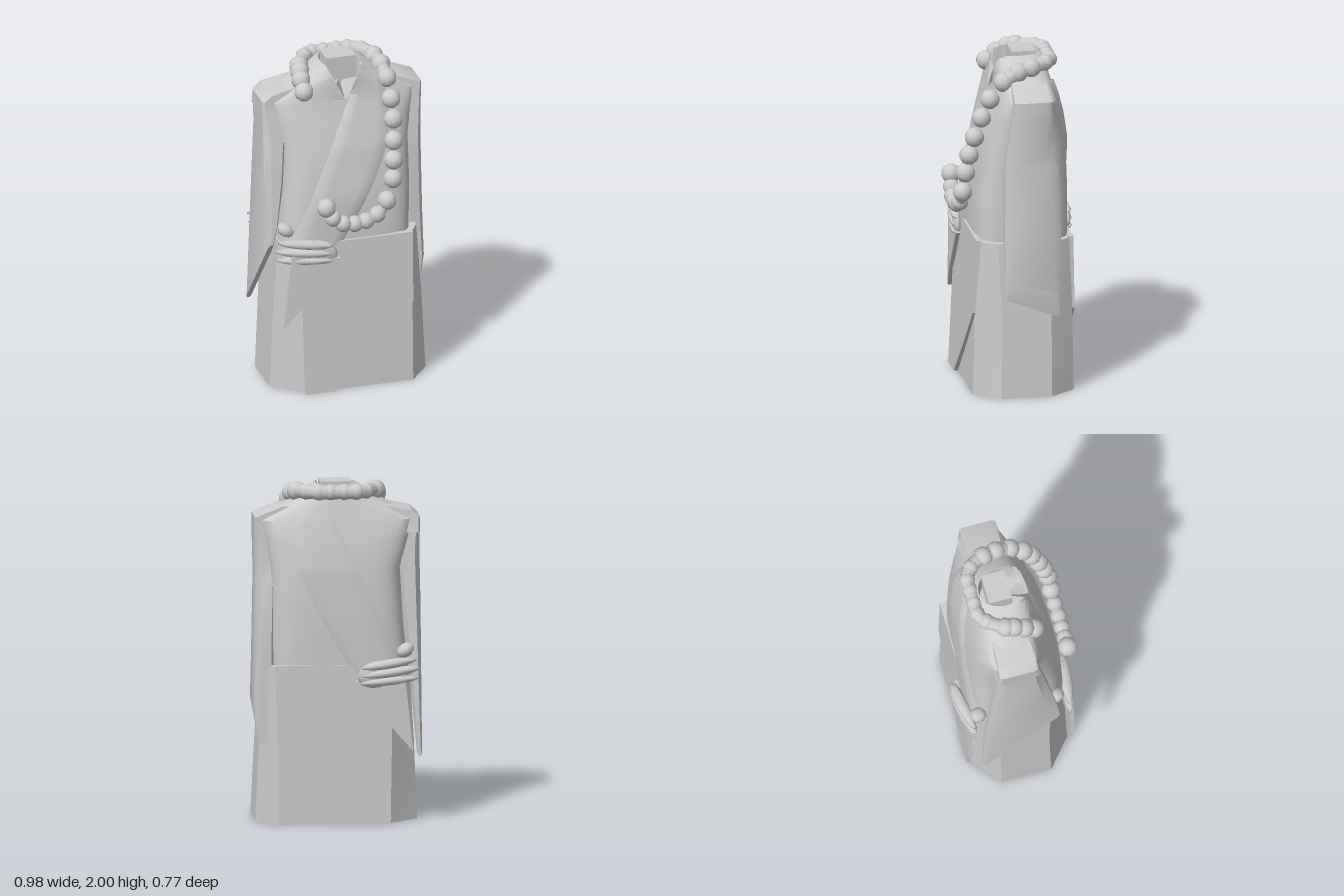
import * as THREE from 'three';
import { toCreasedNormals } from 'three/addons/utils/BufferGeometryUtils.js';

const V = (x, y, z) => new THREE.Vector3(x, y, z);

// Torso outline: y, centre x, half width, back z, front z, squareness
const TORSO = [
  [0.86, -0.02, 0.4, -0.29, 0.265, 5],
  [1.2, 0, 0.39, -0.29, 0.26, 4.5],
  [1.5, 0.01, 0.385, -0.28, 0.21, 4],
  [1.66, 0, 0.43, -0.255, 0.165, 3.5],
  [1.78, 0, 0.475, -0.225, 0.13, 3],
  [1.86, 0, 0.32, -0.2, 0.12, 3],
  [1.92, 0, 0.2, -0.19, 0.125, 2.5],
  [1.97, 0, 0.14, -0.175, 0.135, 2.2],
];

function torsoAt(y) {
  let i = 0;
  while (i < TORSO.length - 2 && TORSO[i + 1][0] < y) i++;
  const a = TORSO[i], b = TORSO[i + 1];
  const t = THREE.MathUtils.clamp((y - a[0]) / (b[0] - a[0]), 0, 1);
  return a.map((v, k) => v + (b[k] - v) * t);
}

// z of the torso surface, s = 1 for the front and -1 for the back
function torsoZ(x, y, s) {
  const [, cx, hx, zb, zf, p] = torsoAt(y);
  const u = Math.min(1, Math.abs((x - cx) / hx));
  return (zb + zf) / 2 + s * (zf - zb) / 2 * Math.pow(1 - Math.pow(u, p), 1 / p);
}

// Rounded ring; the front dips into the V of the neckline
function roundRing([y, cx, hx, zb, zf, p], n = 40) {
  const pw = (v) => Math.sign(v) * Math.pow(Math.abs(v), 2 / p);
  return Array.from({ length: n }, (_, i) => {
    const a = i / n * Math.PI * 2;
    const x = cx + hx * pw(Math.sin(a)), c = Math.cos(a);
    const z = (zb + zf) / 2 + (zf - zb) / 2 * pw(c);
    return V(x, c > 0 ? Math.min(y, 1.77 + 2 * Math.abs(x)) : y, z);
  });
}

// Rectangular ring with cut corners; slope tilts it along z
function boxRing(y, x0, x1, z0, z1, c0, c1, cz, slope = 0) {
  return [[x0 + c0, z1], [x1 - c1, z1], [x1, z1 - cz], [x1, z0 + cz],
    [x1 - c1, z0], [x0 + c0, z0], [x0, z0 + cz], [x0, z1 - cz]]
    .map(([x, z]) => V(x, y + slope * z, z));
}

// Closed skin over rings listed from bottom to top
function loft(rings, crease = 0.6) {
  const n = rings[0].length;
  const mid = (r) => {
    const c = r.reduce((s, p) => s.add(p), V(0, 0, 0)).divideScalar(n);
    return Array(n).fill(c);
  };
  const all = [mid(rings[0]), ...rings, mid(rings[rings.length - 1])];
  const pos = all.flat().flatMap((p) => [p.x, p.y, p.z]), idx = [];
  for (let i = 0; i < all.length - 1; i++) {
    for (let j = 0; j < n; j++) {
      const a = i * n + j, b = i * n + (j + 1) % n;
      if (i > 0) idx.push(a, b, b + n);
      if (i < all.length - 2) idx.push(a, b + n, a + n);
    }
  }
  const g = new THREE.BufferGeometry();
  g.setAttribute('position', new THREE.Float32BufferAttribute(pos, 3));
  g.setIndex(idx);
  return toCreasedNormals(g, crease);
}

// Cloth plate cut from an outline and leaned to follow z(x, y)
function panel(points, depth, zAt) {
  const shape = new THREE.Shape(points.map((p) => new THREE.Vector2(...p)));
  const g = new THREE.ExtrudeGeometry(shape, { depth, bevelEnabled: false });
  const p = g.attributes.position;
  for (let i = 0; i < p.count; i++) p.setZ(i, p.getZ(i) - depth / 2 + zAt(p.getX(i), p.getY(i)));
  g.computeVertexNormals();
  return g;
}

// Band lying on the torso between two edges
function sash(s) {
  const inner = new THREE.CatmullRomCurve3([V(0.03, 1.8, 0), V(-0.08, 1.58, 0), V(-0.23, 1.25, 0), V(-0.38, 0.92, 0)]);
  const outer = new THREE.CatmullRomCurve3([V(0.24, 1.86, 0), V(0.25, 1.6, 0), V(0.17, 1.35, 0), V(-0.1, 0.86, 0)]);
  const g = new THREE.PlaneGeometry(1, 1, 8, 24), p = g.attributes.position;
  for (let i = 0; i < p.count; i++) {
    const u = p.getX(i) + 0.5, t = 0.5 - p.getY(i);
    const q = inner.getPoint(t).lerp(outer.getPoint(t), s > 0 ? u : 1 - u);
    const lift = u < 0.01 || u > 0.99 ? 0 : 0.015;
    p.setXYZ(i, q.x, q.y, torsoZ(q.x, q.y, s) + s * lift);
  }
  g.computeVertexNormals();
  return g;
}

export function createModel() {
  const model = new THREE.Group();
  const cloth = new THREE.MeshStandardMaterial({ color: 0xcccccc, side: THREE.DoubleSide });
  const add = (name, geo, parent = model) => {
    const m = new THREE.Mesh(geo, cloth);
    m.name = name;
    parent.add(m);
    return m;
  };
  const blob = (name, x, y, z, rx, ry, rz, tilt = 0, turn = 0) => {
    const m = add(name, new THREE.SphereGeometry(1, 10, 7));
    m.position.set(x, y, z);
    m.scale.set(rx, ry, rz);
    m.rotation.set(0, turn, tilt);
  };

  // Upper robe with a sunken neckline
  const torso = TORSO.map((s) => roundRing(s));
  torso.push(roundRing([1.98, 0, 0.115, -0.16, 0.14, 2.2]));
  torso.push(roundRing([1.86, 0, 0.1, -0.15, 0.11, 2.2]));
  add('torso', loft(torso));
  add('neck', new THREE.BoxGeometry(0.18, 0.3, 0.14)).position.set(0.005, 1.85, -0.05);

  // Skirt with broad cut corners
  add('skirt', loft([
    boxRing(0, -0.47, 0.48, -0.3, 0.3, 0.18, 0.12, 0.15),
    boxRing(0.5, -0.45, 0.455, -0.29, 0.285, 0.15, 0.095, 0.14),
    boxRing(0.93, -0.42, 0.42, -0.28, 0.26, 0.1, 0.06, 0.1),
  ], 0.4));

  for (const s of [1, -1]) {
    const side = s > 0 ? 'front' : 'back';
    const skirtZ = (x, y) => s * (s > 0 ? 0.31 - 0.05 * y : 0.3 - 0.02 * y);

    // Overlapping skirt flap with its diagonal hem
    add(side + 'SkirtFlap', panel([[-0.3, 0], [-0.12, 0], [0.12, 0.24], [0.36, 0.5], [0.365, 0.94], [-0.36, 0.94], [-0.31, 0.57]], 0.03, skirtZ));

    // Diagonal sash, its knot and hanging tail
    add(side + 'Sash', sash(s));
    const kz = s > 0 ? 0.29 : -0.335, turn = s > 0 ? -0.12 : 0.18;
    blob(side + 'KnotBand', -0.22, 0.89, kz, 0.12, 0.08, 0.03, -0.15, turn);
    blob(side + 'KnotFoldUpper', -0.29, 0.95, kz, 0.17, 0.028, 0.035, -0.12, turn);
    blob(side + 'KnotFoldMiddle', -0.3, 0.9, kz, 0.18, 0.028, 0.038, -0.1, turn);
    blob(side + 'KnotFoldLower', -0.29, 0.85, kz, 0.18, 0.026, 0.035, -0.06, turn);
    blob(side + 'KnotLoop', -0.39, 1.02, s > 0 ? 0.2 : -0.27, 0.055, 0.04, 0.05, -0.6);
    add(side + 'SashTail', panel([[-0.38, 0.9], [-0.43, 0.43], [-0.3, 0.58], [-0.09, 0.85]], 0.025,
      (x) => s * (s > 0 ? 0.305 + 0.1 * Math.min(0, x + 0.3) : 0.325)));
  }

  // Left sleeve, flaring to a slanted cuff
  add('leftSleeve', loft([
    boxRing(0.552, 0.37, 0.465, -0.22, 0.13, 0.01, 0.01, 0.02, 0.37),
    boxRing(0.675, 0.37, 0.487, -0.215, 0.125, 0.02, 0.02, 0.03, 0.22),
    boxRing(1.0, 0.36, 0.482, -0.205, 0.125, 0.03, 0.03, 0.05),
    boxRing(1.4, 0.35, 0.475, -0.19, 0.12, 0.03, 0.03, 0.05),
    boxRing(1.47, 0.34, 0.475, -0.16, 0.115, 0.03, 0.03, 0.05),
    boxRing(1.7, 0.3, 0.482, -0.16, 0.08, 0.03, 0.02, 0.03),
    boxRing(1.8, 0.25, 0.482, -0.15, 0.07, 0.02, 0.01, 0.02),
    boxRing(1.86, 0.2, 0.34, -0.15, 0.06, 0.02, 0.02, 0.02),
  ], 0.6));

  // Right sleeve, wide and hanging to a point at the back
  add('rightSleeve', loft([
    boxRing(0.7, -0.49, -0.46, -0.27, 0.2, 0.008, 0.008, 0.02, 1.15),
    boxRing(0.95, -0.49, -0.42, -0.25, 0.19, 0.02, 0.02, 0.05, 0.45),
    boxRing(1.3, -0.49, -0.37, -0.2, 0.15, 0.03, 0.03, 0.05),
    boxRing(1.6, -0.485, -0.34, -0.17, 0.1, 0.03, 0.03, 0.04),
    boxRing(1.75, -0.487, -0.3, -0.16, 0.07, 0.02, 0.02, 0.02),
  ], 0.6));

  // Raised cap on the right shoulder
  add('rightShoulderCap', loft([
    boxRing(1.7, -0.487, -0.2, -0.18, 0.09, 0.01, 0.01, 0.02),
    boxRing(1.79, -0.487, -0.2, -0.16, 0.07, 0.01, 0.01, 0.02),
    boxRing(1.83, -0.44, -0.2, -0.16, 0.07, 0.01, 0.01, 0.02),
    boxRing(1.87, -0.25, -0.18, -0.15, 0.06, 0.01, 0.01, 0.02),
  ], 0.4));

  // Bead necklace: collar, left strand and lower loop
  const necklace = new THREE.Group();
  necklace.name = 'necklace';
  model.add(necklace);
  const beads = [
    [-0.25, 1.85, 0.11], [-0.25, 1.9, 0.05], [-0.24, 1.93, -0.01], [-0.23, 1.94, -0.06],
    [-0.17, 1.95, -0.16], [-0.11, 1.95, -0.2], [-0.04, 1.95, -0.2], [0.04, 1.95, -0.2],
    [0.11, 1.95, -0.2], [0.18, 1.95, -0.16], [0.23, 1.94, -0.07], [0.25, 1.92, 0.01],
    [0.26, 1.87, 0.1], [0.26, 1.77, 0.18], [0.26, 1.66, 0.23], [0.25, 1.54, 0.27],
    [0.24, 1.43, 0.3], [0.23, 1.32, 0.32], [0.19, 1.19, 0.33], [0.13, 1.11, 0.335],
    [0.06, 1.08, 0.34], [-0.01, 1.07, 0.34], [-0.08, 1.08, 0.34], [-0.14, 1.12, 0.335], [-0.18, 1.19, 0.33],
  ];
  const ball = new THREE.SphereGeometry(1, 10, 7);
  beads.forEach(([x, y, z], i) => {
    const m = add('bead', ball, necklace);
    m.position.set(x, y, z);
    m.scale.setScalar(i > 18 && i < 24 ? 0.05 : i > 3 && i < 10 ? 0.048 : 0.058);
  });
  const tube = (name, from, to, radius) => add(name,
    new THREE.TubeGeometry(new THREE.CatmullRomCurve3(beads.slice(from, to).map((b) => V(...b))), 30, radius, 8), necklace);
  tube('collarCord', 3, 13, 0.042);
  tube('loopCord', 18, 24, 0.035);

  return model;
}
